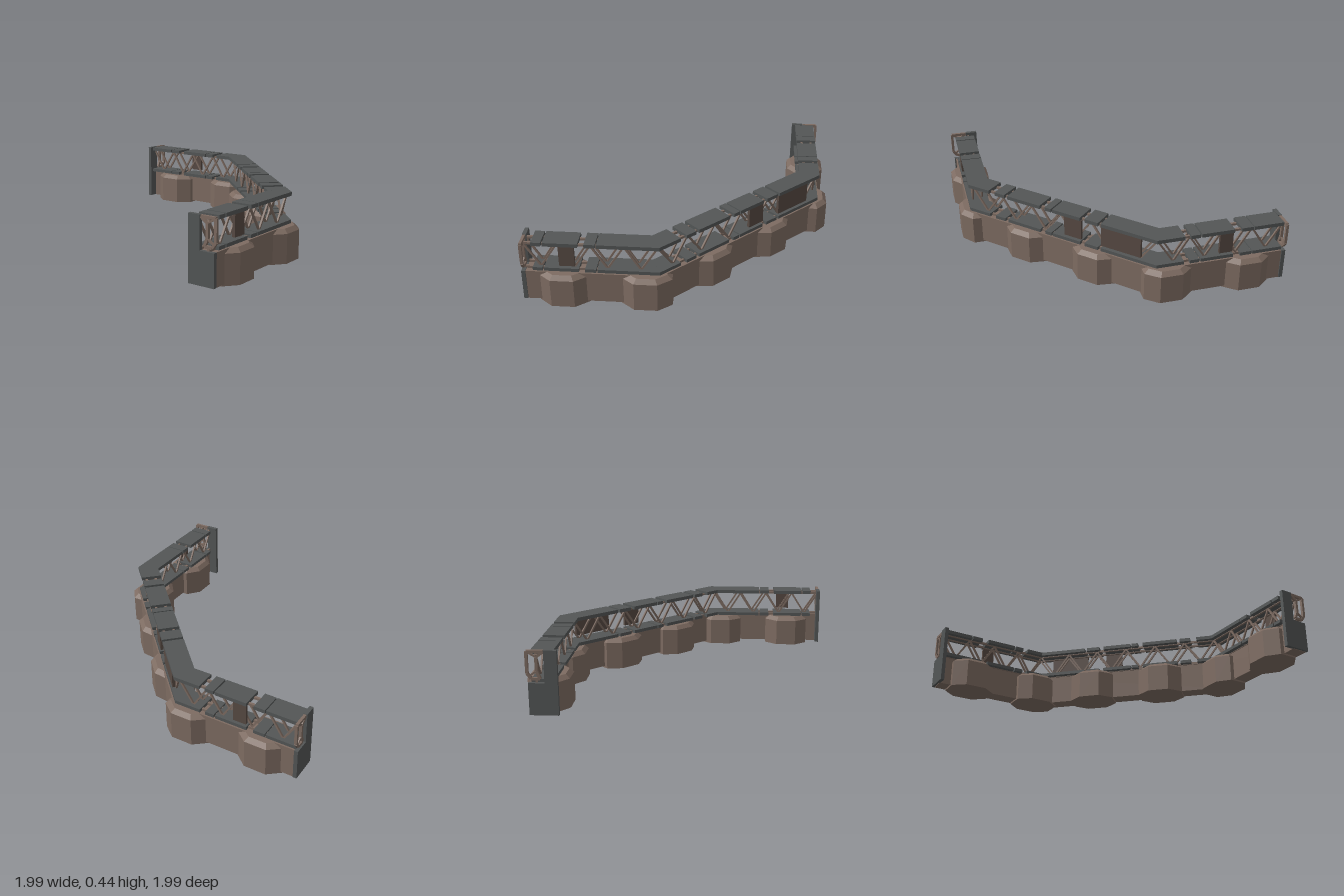
import * as THREE from 'three';

const brown = new THREE.MeshStandardMaterial({ color: 0x7d6b61, flatShading: true });
const grey = new THREE.MeshStandardMaterial({ color: 0x535656, flatShading: true });
const dark = new THREE.MeshStandardMaterial({ color: 0x574a43, flatShading: true });
const MITRE = Math.tan(Math.PI / 8);

function add(parent, name, geometry, material) {
  const mesh = new THREE.Mesh(geometry, material);
  mesh.name = name;
  parent.add(mesh);
  return mesh;
}

// Flat slab along local x; m0 / m1 = 1 cuts that end to meet the next section
function slab(parent, name, mat, [u0, u1], [z0, z1], [y0, y1], m0 = 0, m1 = 0) {
  const p = [[u0 + m0 * z0 * MITRE, z0], [u1 - m1 * z0 * MITRE, z0],
    [u1 - m1 * z1 * MITRE, z1], [u0 + m0 * z1 * MITRE, z1]];
  const shape = new THREE.Shape(p.map(q => new THREE.Vector2(...q)));
  const g = new THREE.ExtrudeGeometry(shape, { depth: y1 - y0, bevelEnabled: false });
  g.rotateX(Math.PI / 2).translate(0, y1, 0);
  add(parent, name, g, mat);
}

// Square bar between two points
function bar(parent, name, a, b, size = 0.012) {
  const from = new THREE.Vector3(...a), to = new THREE.Vector3(...b);
  const d = to.clone().sub(from);
  const m = add(parent, name, new THREE.BoxGeometry(size, d.length(), size), brown);
  m.position.copy(from).add(to).multiplyScalar(0.5);
  m.quaternion.setFromUnitVectors(new THREE.Vector3(0, 1, 0), d.normalize());
}

// Eight-sided tank: straight walls with a sloping shoulder
function tank(parent, u) {
  const outline = [[0.163, 0.065], [0.075, 0.136], [-0.075, 0.136], [-0.163, 0.065],
    [-0.163, -0.065], [-0.075, -0.136], [0.075, -0.136], [0.163, -0.065]];
  const rings = [[0, 1], [0.195, 1], [0.222, 0.8]];
  const pos = [], idx = [];
  for (const [y, s] of rings) for (const [x, z] of outline) pos.push(x * s, y, z * s);
  for (let r = 0; r < rings.length - 1; r++) {
    for (let i = 0; i < 8; i++) {
      const a = r * 8 + i, b = r * 8 + (i + 1) % 8;
      idx.push(a, b, a + 8, b, b + 8, a + 8);
    }
  }
  // Bottom and top caps
  const top = (rings.length - 1) * 8;
  for (let i = 1; i < 7; i++) {
    idx.push(0, i + 1, i);
    idx.push(top, top + i, top + i + 1);
  }
  // Outline runs clockwise seen from above, so flip every face outward
  for (let i = 0; i < idx.length; i += 3) [idx[i + 1], idx[i + 2]] = [idx[i + 2], idx[i + 1]];
  const indexed = new THREE.BufferGeometry();
  indexed.setAttribute('position', new THREE.Float32BufferAttribute(pos, 3));
  indexed.setIndex(idx);
  const g = indexed.toNonIndexed();
  g.computeVertexNormals();
  add(parent, 'tank', g, brown).position.x = u;
}

// L-shaped end wall with an open bracket frame beside its tall column
function endWall(parent, u) {
  const wall = new THREE.Group();
  wall.name = 'endWall';
  const pts = [[-0.085, 0.015], [0.1, 0.015], [0.1, 0.435], [0.018, 0.435], [0.018, 0.225], [-0.085, 0.225]];
  const shape = new THREE.Shape(pts.map(q => new THREE.Vector2(...q)));
  const g = new THREE.ExtrudeGeometry(shape, { depth: 0.026, bevelEnabled: false });
  g.rotateY(-Math.PI / 2).translate(0.013, 0, 0);
  add(wall, 'endPlate', g, grey);
  const loop = [[0.015, 0.425], [-0.09, 0.425], [-0.09, 0.285], [-0.065, 0.25], [-0.01, 0.25],
    [-0.03, 0.3], [-0.03, 0.39], [0.015, 0.425]];
  for (let i = 0; i < loop.length - 1; i++) {
    bar(wall, 'bracketBar', [0, loop[i][1], loop[i][0]], [0, loop[i + 1][1], loop[i + 1][0]], 0.018);
  }
  bar(wall, 'bracketBrace', [0, 0.39, -0.03], [0, 0.425, -0.09]);
  bar(wall, 'bracketBrace', [0, 0.3, -0.03], [0, 0.265, -0.08]);
  wall.position.x = u;
  parent.add(wall);
}

// One straight run of the walkway
function section({ name, length, start, turn, m0, m1, plates, tanks, panels }) {
  const s = new THREE.Group();
  s.name = name;
  const u0 = m0 ? 0 : 0.02, u1 = m1 ? length : length - 0.02;
  slab(s, 'hull', brown, [u0, u1], [-0.077, 0.035], [0.012, 0.222], m0, m1);
  tanks.forEach(u => tank(s, u));

  // Upper and lower decking
  plates.forEach(([a, b], i) => {
    const c0 = m0 && i === 0 ? 1 : 0, c1 = m1 && i === plates.length - 1 ? 1 : 0;
    slab(s, 'upperDeck', grey, [a, b], [-0.068, 0.075], [0.405, 0.43], c0, c1);
    slab(s, 'lowerDeck', grey, [a, b], [-0.068, 0.075], [0.224, 0.247], c0, c1);
  });

  // Twin trusses under the upper deck
  const n = 2 * Math.round((u1 - u0) / 0.235);
  for (const z of [-0.034, 0.034]) {
    slab(s, 'upperChord', brown, [u0, u1], [z - 0.008, z + 0.008], [0.4, 0.415], m0, m1);
    slab(s, 'lowerChord', brown, [u0, u1], [z - 0.008, z + 0.008], [0.22, 0.238], m0, m1);
    const a = u0 + m0 * z * MITRE, b = u1 - m1 * z * MITRE;
    const y = [0.405, 0.24];
    for (let i = 0; i < n; i++) {
      bar(s, 'trussBar', [a + (b - a) * i / n, y[i % 2], z], [a + (b - a) * (i + 1) / n, y[(i + 1) % 2], z]);
    }
  }

  // Closed panels on the outer side
  for (const [a, b] of panels) slab(s, 'sidePanel', dark, [a, b], [-0.062, -0.042], [0.262, 0.404]);

  if (!m0) endWall(s, 0.015);
  if (!m1) endWall(s, length - 0.018);
  s.position.set(start[0], 0, start[1]);
  s.rotation.y = -turn;
  return s;
}

export function createModel() {
  const model = new THREE.Group();
  model.name = 'walkway';
  model.add(section({
    name: 'firstSection', length: 0.857, start: [-1, -0.858], turn: 0, m0: 0, m1: 1,
    plates: [[0.025, 0.23], [0.237, 0.315], [0.365, 0.587], [0.597, 0.66], [0.7, 0.857]],
    tanks: [0.264, 0.8], panels: [[0.37, 0.46]],
  }));
  model.add(section({
    name: 'middleSection', length: 1.4156, start: [-0.143, -0.858], turn: Math.PI / 4, m0: 1, m1: 1,
    plates: [[0, 0.38], [0.4, 0.5], [0.535, 0.75], [0.76, 0.81], [0.85, 1.115], [1.14, 1.22], [1.27, 1.4156]],
    tanks: [0.44, 0.975], panels: [[0.09, 0.38], [0.53, 0.66]],
  }));
  model.add(section({
    name: 'lastSection', length: 0.857, start: [0.858, 0.143], turn: Math.PI / 2, m0: 1, m1: 0,
    plates: [[0, 0.367], [0.375, 0.445], [0.485, 0.707], [0.717, 0.78]],
    tanks: [0.057, 0.587], panels: [[0.51, 0.61]],
  }));
  return model;
}
